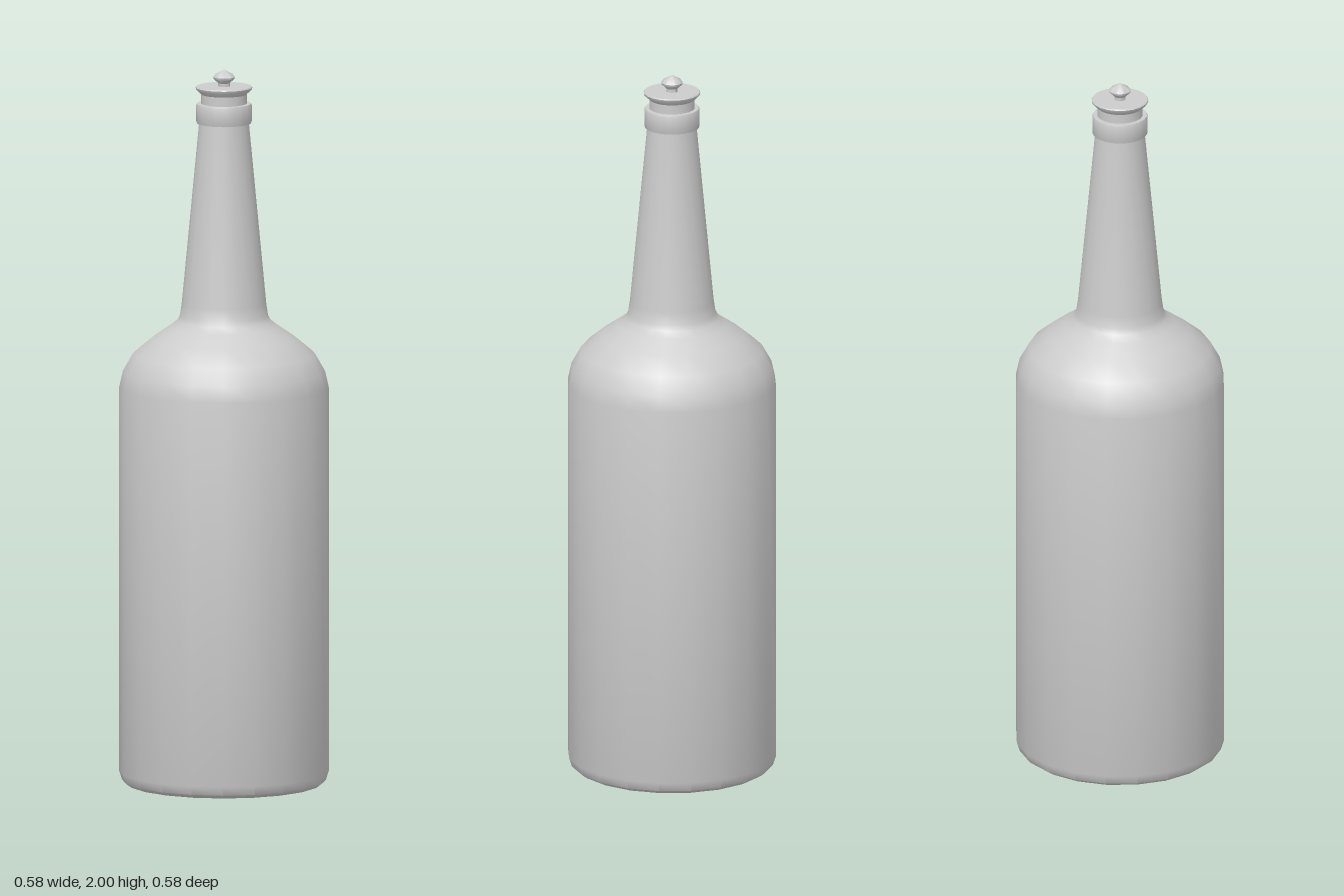
import * as THREE from 'three';
import { toCreasedNormals } from 'three/addons/utils/BufferGeometryUtils.js';

const SIDES = 20;

// Revolve [radius, height] pairs, listed bottom to top, around the y axis
function turned(name, profile, crease = 0.65) {
  const points = profile.map(([r, y]) => new THREE.Vector2(r, y));
  const geometry = toCreasedNormals(new THREE.LatheGeometry(points, SIDES), crease);
  const mesh = new THREE.Mesh(geometry, new THREE.MeshStandardMaterial({ color: 0xcccccc }));
  mesh.name = name;
  return mesh;
}

export function createModel() {
  const model = new THREE.Group();
  model.name = 'bottle';

  // Glass: flat base, straight body, rounded shoulder and tapering neck
  model.add(turned('bottleBody', [
    [0, 0], [0.268, 0], [0.282, 0.01], [0.29, 0.035],
    [0.29, 1.11], [0.28, 1.155], [0.253, 1.203], [0.2, 1.247],
    [0.152, 1.28], [0.13, 1.297], [0.122, 1.312], [0.117, 1.345],
    [0.069, 1.85],
  ]));

  // Raised ring round the mouth
  model.add(turned('lipCollar', [
    [0.066, 1.85], [0.075, 1.85], [0.077, 1.856],
    [0.077, 1.9], [0.075, 1.905], [0.063, 1.905],
  ]));

  // Stopper: plug, flared disc and pointed knob
  const stopper = new THREE.Group();
  stopper.name = 'stopper';
  stopper.add(
    turned('stopperPlug', [[0.063, 1.9], [0.063, 1.935]]),
    turned('stopperDisc', [
      [0, 1.931], [0.063, 1.931], [0.077, 1.944],
      [0.079, 1.95], [0.077, 1.953], [0, 1.953],
    ]),
    turned('stopperKnob', [
      [0.016, 1.95], [0.016, 1.962], [0.029, 1.974],
      [0.03, 1.979], [0.024, 1.987], [0, 2],
    ]),
  );
  model.add(stopper);

  return model;
}
